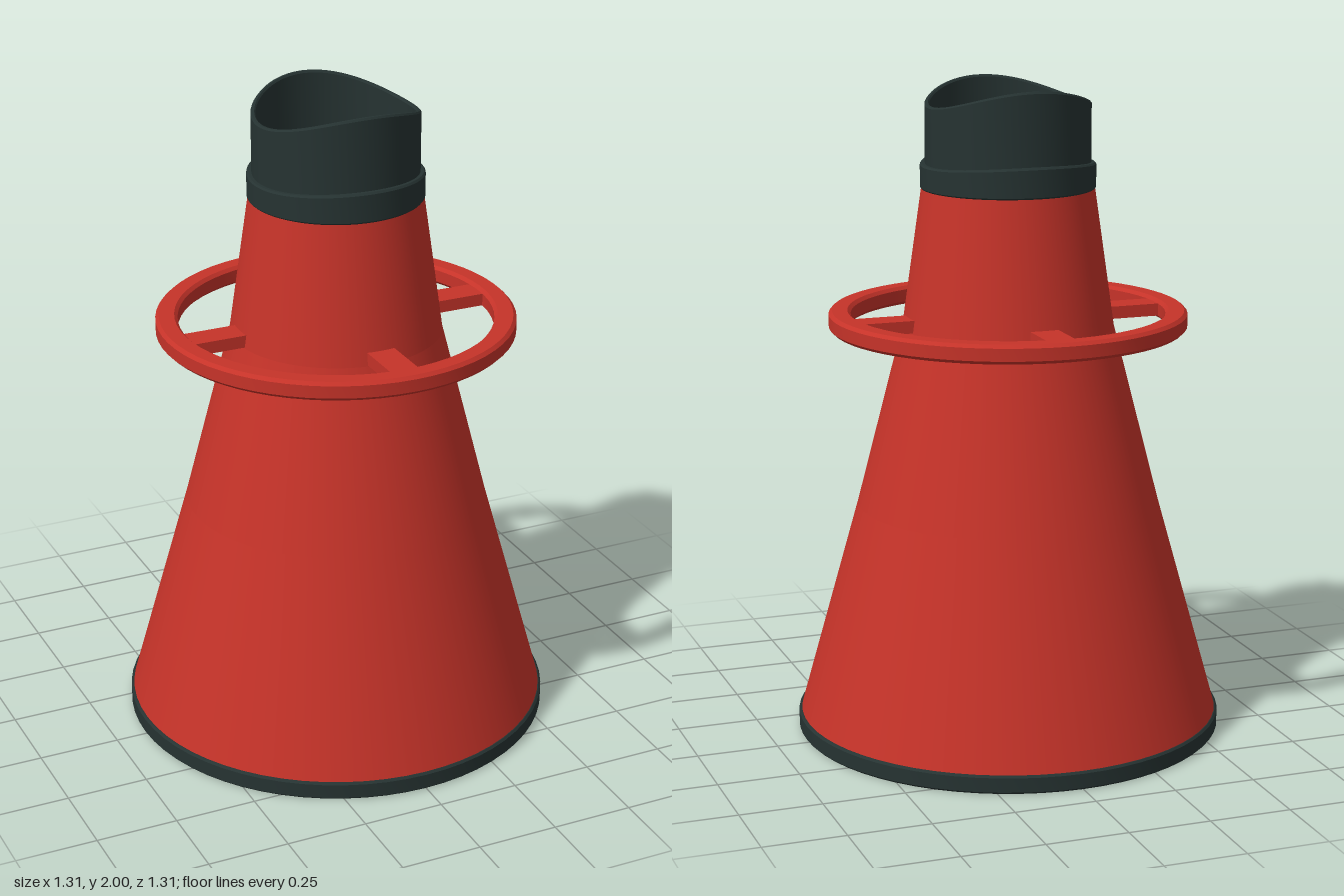
import * as THREE from 'three';
import { toCreasedNormals } from 'three/addons/utils/BufferGeometryUtils.js';

const SEGMENTS = 64;

// Lathe a profile of [radius, y] pairs (outside upwards), keeping its corners sharp.
function turn(profile, deform) {
  const points = profile.map(([r, y]) => new THREE.Vector2(r, y));
  const geometry = new THREE.LatheGeometry(points, SEGMENTS);
  if (deform) {
    const p = geometry.attributes.position;
    for (let i = 0; i < p.count; i++) p.setY(i, deform(p.getX(i), p.getY(i), p.getZ(i)));
  }
  return toCreasedNormals(geometry, 0.4);
}

// Closed ring profile with chamfered corners.
function ringProfile(r0, r1, y0, y1, c) {
  return [
    [r0 + c, y0], [r1 - c, y0], [r1, y0 + c], [r1, y1 - c], [r1 - c, y1],
    [r0 + c, y1], [r0, y1 - c], [r0, y0 + c], [r0 + c, y0],
  ];
}

export function createModel() {
  const group = new THREE.Group();
  const red = new THREE.MeshStandardMaterial({ color: 0xc63329 });
  red.name = 'red plastic';
  const rubber = new THREE.MeshStandardMaterial({ color: 0x263332 });
  rubber.name = 'dark rubber';
  const glass = new THREE.MeshStandardMaterial({ color: 0xd0dddd });
  glass.name = 'pale glass';

  function add(name, geometry, material, parent = group) {
    const mesh = new THREE.Mesh(geometry, material);
    mesh.name = name;
    parent.add(mesh);
    return mesh;
  }

  // Hollow cone body in three sections, each with an inner wall
  const body = new THREE.Group();
  body.name = 'coneBody';
  group.add(body);
  const wall = 0.025;
  const outline = [[0.648, 0.05], [0.463, 0.715], [0.322, 1.265], [0.26, 1.7]];
  const names = ['lowerCone', 'middleCone', 'neck'];
  names.forEach((name, i) => {
    const [r0, y0] = outline[i];
    const [r1, y1] = outline[i + 1];
    add(name, turn([[r0, y0], [r1, y1]]), red, body);
    add(name + 'Inside', turn([[r1 - wall, y1], [r0 - wall, y0]]), red, body);
  });

  // Rubber rim and the viewing window set into it
  add('baseRim', turn(ringProfile(0.6, 0.655, 0, 0.056, 0.006)), rubber);
  const pane = add('window', new THREE.CylinderGeometry(0.605, 0.605, 0.02, SEGMENTS), glass);
  pane.position.y = 0.016;

  // Eyepiece: collar and hood, its upper edge dipping towards both sides
  const eyepiece = [
    [0.228, 1.685], [0.26, 1.685], [0.265, 1.692], [0.265, 1.774], [0.26, 1.78], [0.25, 1.78],
    [0.25, 1.994], [0.246, 2], [0.239, 2], [0.235, 1.994], [0.235, 1.78], [0.23, 1.78], [0.228, 1.685],
  ];
  const dip = (x, y, z) => y - 0.062 * (x * x) / (x * x + z * z) * (y - 1.685) / 0.315;
  add('eyepieceHood', turn(eyepiece, dip), rubber);

  // Carrying ring on four spokes
  add('handleRing', turn(ringProfile(0.478, 0.545, 1.258, 1.316, 0.01)), red);
  for (let i = 0; i < 4; i++) {
    const spoke = add('handleSpoke', new THREE.BoxGeometry(0.18, 0.038, 0.088), red);
    const angle = i * Math.PI / 2;
    spoke.position.set(Math.cos(angle) * 0.395, 1.287, Math.sin(angle) * 0.395);
    spoke.rotation.y = -angle;
  }

  return group;
}
